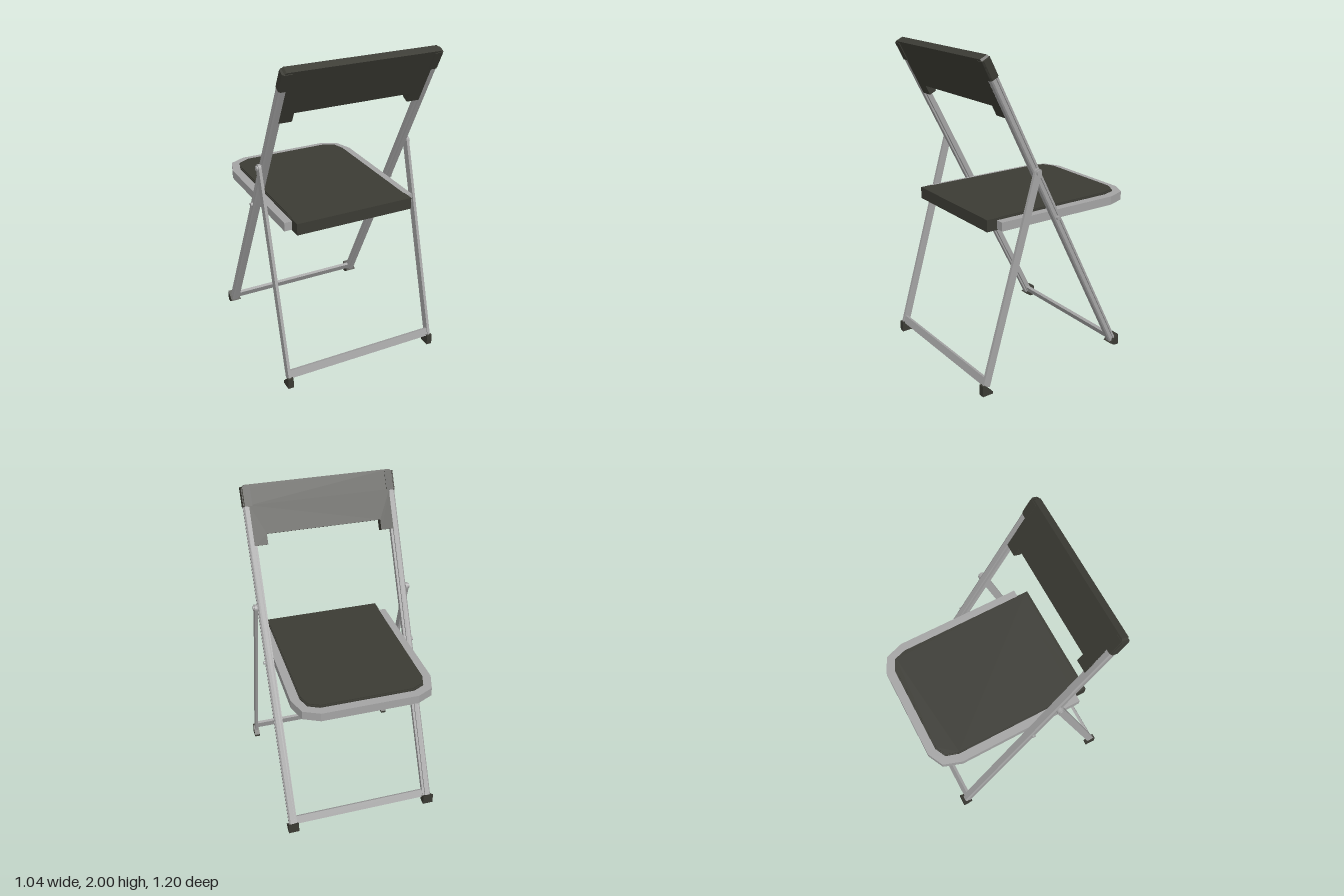
import * as THREE from 'three';

const metal = new THREE.MeshStandardMaterial({ color: 0xa4a4a4, flatShading: true });
metal.name = 'grey metal';
const plastic = new THREE.MeshStandardMaterial({ color: 0x3b3b34, flatShading: true });
plastic.name = 'dark plastic';

const shapeOf = (pts) => new THREE.Shape(pts.map(([a, b]) => new THREE.Vector2(a, b)));

// Mirror a half outline (+x side) into a closed outline
const mirrored = (half) => [...half, ...half.map(([x, y]) => [-x, y]).reverse()];

// Outline in (x, z), extruded upwards from y0 to y1
function column(pts, y0, y1) {
  const g = new THREE.ExtrudeGeometry(shapeOf(pts.map(([x, z]) => [x, -z])), { depth: y1 - y0, bevelEnabled: false });
  return g.rotateX(-Math.PI / 2).translate(0, y0, 0);
}

// Outline in (z, y), extruded sideways from x0 to x1
function sideSolid(pts, x0, x1) {
  const g = new THREE.ExtrudeGeometry(shapeOf(pts), { depth: x1 - x0, bevelEnabled: false });
  return g.rotateY(-Math.PI / 2).translate(x1, 0, 0);
}

function add(parent, name, geometry, material, x = 0, y = 0, z = 0) {
  const m = new THREE.Mesh(geometry, material);
  m.name = name;
  m.position.set(x, y, z);
  parent.add(m);
  return m;
}

const box = (w, h, d) => new THREE.BoxGeometry(w, h, d);
const pin = (r, len) => new THREE.CylinderGeometry(r, r, len, 12).rotateZ(Math.PI / 2);
const span = (side, a, b) => (side > 0 ? [a, b] : [-b, -a]);

export function createModel() {
  const chair = new THREE.Group();
  chair.name = 'foldingChair';

  // Long frame: leans forward, carries the backrest; origin at the seat pin
  const longFrame = new THREE.Group();
  longFrame.name = 'longFrame';
  longFrame.position.set(0, 1, 0.037);
  longFrame.rotation.x = Math.atan(0.505);
  chair.add(longFrame);

  // Short frame: origin at the upper pivot
  const shortFrame = new THREE.Group();
  shortFrame.name = 'shortFrame';
  shortFrame.position.set(0, 1.31, 0.198);
  shortFrame.rotation.x = -Math.atan(0.295);
  chair.add(shortFrame);

  // Grooved tube section of the long legs
  const legSection = [
    [0.437, -0.014], [0.452, -0.014], [0.452, -0.025], [0.482, -0.025], [0.49, -0.018], [0.49, -0.008],
    [0.482, -0.008], [0.482, 0.008], [0.49, 0.008], [0.49, 0.018], [0.482, 0.025], [0.452, 0.025],
    [0.452, 0.014], [0.437, 0.014],
  ];

  // Flat short leg with a rounded top
  const shortLeg = [[-0.024, -1.31], [0.024, -1.31]];
  for (let i = 0; i <= 10; i++) {
    const a = (i / 10) * Math.PI;
    shortLeg.push([0.024 * Math.cos(a), 0.024 * Math.sin(a)]);
  }

  for (const side of [1, -1]) {
    const tag = side > 0 ? 'left' : 'right';
    add(longFrame, tag + 'LongLeg', column(legSection.map(([x, z]) => [side * x, z]), -1.085, 1.07), metal);
    add(shortFrame, tag + 'ShortLeg', sideSolid(shortLeg, ...span(side, 0.492, 0.51)), metal);

    // Pivot bolts and seat pins
    add(chair, tag + 'PivotBolt', pin(0.016, 0.05), metal, side * 0.494, 1.31, 0.198);
    add(chair, tag + 'SeatPin', pin(0.012, 0.08), metal, side * 0.462, 1, 0.037);

    // Wedge feet
    add(chair, tag + 'FrontFoot',
      sideSolid([[0.53, 0], [0.6, 0], [0.6, 0.068], [0.582, 0.068], [0.53, 0.015]], ...span(side, 0.482, 0.518)), plastic);
    add(chair, tag + 'RearFoot',
      sideSolid([[-0.488, 0], [-0.455, 0], [-0.42, 0.022], [-0.488, 0.07]], ...span(side, 0.432, 0.5)), plastic);

    // Backrest end cap over the leg top
    add(longFrame, tag + 'BackrestCap',
      column([[0.435, -0.029], [0.482, -0.029], [0.494, -0.016], [0.494, 0.02], [0.485, 0.029], [0.435, 0.029]]
        .map(([x, z]) => [side * x, z]), 0.975, 1.095), plastic);
  }

  // Crossbars near the floor
  add(longFrame, 'rearCrossbar', box(0.9, 0.05, 0.02), metal, 0, -1.055, 0);
  add(shortFrame, 'frontCrossbar', box(0.99, 0.05, 0.02), metal, 0, -1.283, 0.008);

  // Backrest panel with two lower tabs
  const panel = mirrored([
    [0.37, 0.796], [0.37, 0.73], [0.455, 0.73], [0.455, 0.98], [0.49, 0.98], [0.49, 1.085], [0.47, 1.106],
  ]);
  add(longFrame, 'backrestPanel',
    new THREE.ExtrudeGeometry(shapeOf(panel), { depth: 0.05, bevelEnabled: false }).translate(0, 0, -0.025), plastic);

  // Seat tray with clipped rear corners
  const tray = mirrored([[0.435, 0.4], [0.44, -0.43], [0.4, -0.55], [0.3, -0.6]]);
  add(chair, 'seatTray', column(tray, 0.975, 1.03), metal);

  // Seat pad with a thin chamfered rim, and its front lip
  const pad = mirrored([[0.385, 0.46], [0.385, -0.43], [0.36, -0.51], [0.29, -0.545]]);
  add(chair, 'seatPad', column(pad, 1.028, 1.038), plastic);
  add(chair, 'seatPadTop', column(pad.map(([x, z]) => [x * 0.985, z * 0.985]), 1.036, 1.044), plastic);
  add(chair, 'seatFrontLip', box(0.77, 0.074, 0.075), plastic, 0, 1.007, 0.4325);

  return chair;
}
